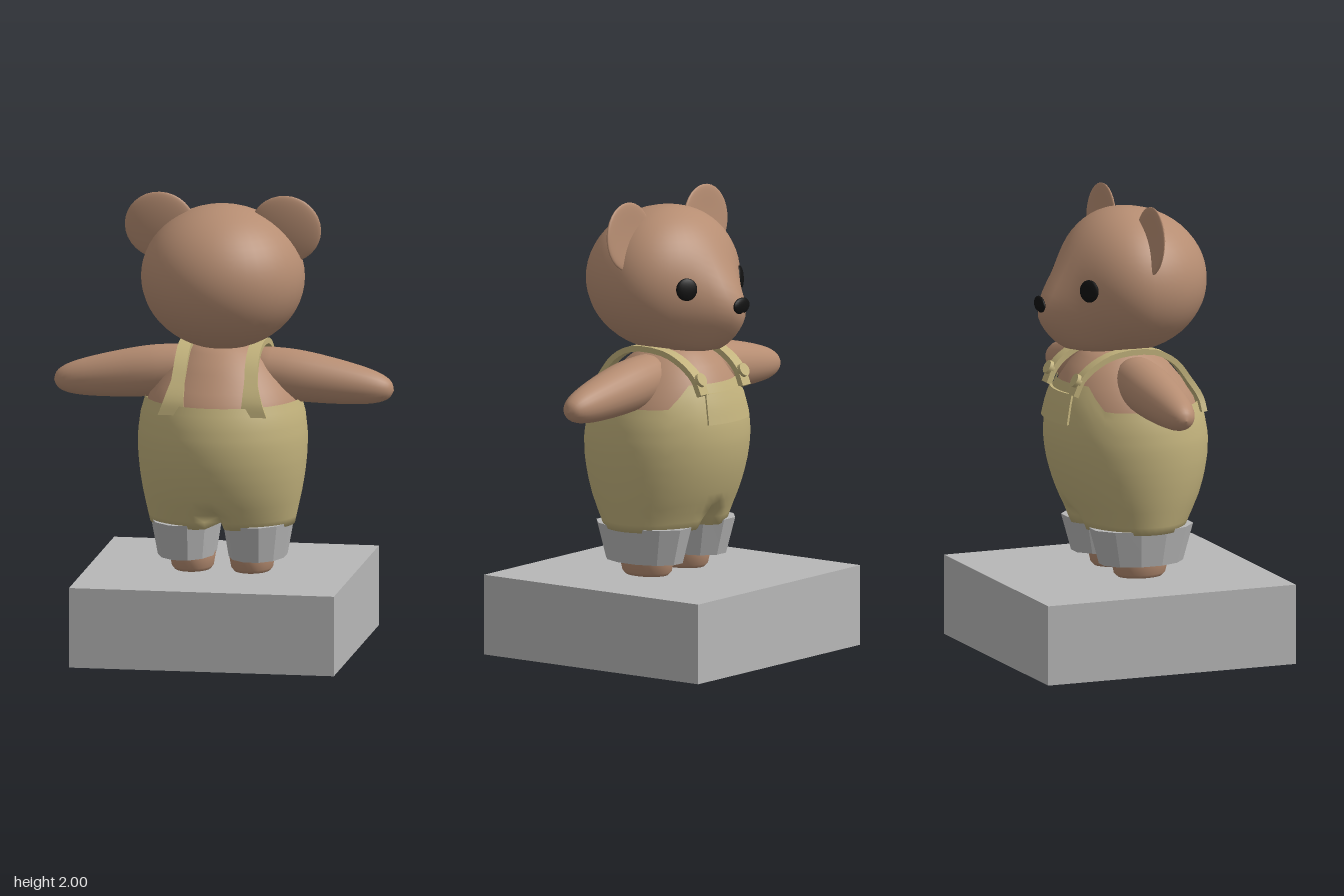
import * as THREE from 'three';
import { mergeVertices, toCreasedNormals } from 'three/addons/utils/BufferGeometryUtils.js';

const V = (x, y, z) => new THREE.Vector3(x, y, z);
const smooth = THREE.MathUtils.smoothstep;

function makeMaterial(name, color, side = THREE.FrontSide) {
  const m = new THREE.MeshStandardMaterial({ color, side });
  m.name = name;
  return m;
}

// Skin over closed rings; each ring runs anticlockwise seen against the path direction.
function loft(rings, capStart = true, capEnd = true) {
  const n = rings[0].length, pts = rings.flat(), idx = [];
  for (let i = 0; i < rings.length - 1; i++) {
    for (let j = 0; j < n; j++) {
      const a = i * n + j, b = i * n + (j + 1) % n;
      idx.push(a, b, a + n, b, b + n, a + n);
    }
  }
  const cap = (i, flip) => {
    const c = rings[i].reduce((s, p) => s.add(p), V(0, 0, 0)).divideScalar(n);
    pts.push(c);
    for (let j = 0; j < n; j++) {
      const a = i * n + j, b = i * n + (j + 1) % n, k = pts.length - 1;
      if (flip) idx.push(b, a, k); else idx.push(a, b, k);
    }
  };
  if (capStart) cap(0, true);
  if (capEnd) cap(rings.length - 1, false);
  const g = new THREE.BufferGeometry().setFromPoints(pts);
  g.setIndex(idx);
  g.computeVertexNormals();
  return g;
}

// Body outline: height, half width, back z, front z
const outline = [
  [0.56, 0.315, 0.27, -0.20], [0.63, 0.33, 0.305, -0.23], [0.7, 0.345, 0.337, -0.265],
  [0.78, 0.358, 0.362, -0.295], [0.86, 0.366, 0.377, -0.317], [0.95, 0.368, 0.38, -0.33],
  [1.04, 0.357, 0.364, -0.326], [1.12, 0.335, 0.335, -0.308], [1.2, 0.285, 0.275, -0.28],
  [1.28, 0.22, 0.21, -0.23], [1.35, 0.13, 0.12, -0.15]];

function bodyPoint(a, y, grow = 0) {
  let i = 0;
  while (i < outline.length - 2 && y > outline[i + 1][0]) i++;
  const p = outline[i], q = outline[i + 1], t = (y - p[0]) / (q[0] - p[0]);
  const [w, b, f] = [1, 2, 3].map(k => p[k] + (q[k] - p[k]) * t);
  return V((w + grow) * Math.sin(a), y, (b + f) / 2 + ((b - f) / 2 + grow) * Math.cos(a));
}

const SEG = 48;
const ringOf = f => Array.from({ length: SEG }, (_, j) => f(j / SEG * Math.PI * 2));

// Trousers with a raised bib and a notch between the legs
function overallsGeometry() {
  const rings = [];
  for (let i = 0; i <= 16; i++) {
    rings.push(ringOf(a => {
      const bib = Math.cos(a) < 0 ? 1 - smooth(Math.abs(Math.sin(a)), 0.6, 0.82) : 0;
      const top = 1.11 + 0.1 * bib;
      const p = bodyPoint(a, 0.56 + (top - 0.56) * i / 16);
      const pinch = smooth(0.67 - p.y, 0, 0.1) * Math.exp(-((p.x / 0.03) ** 2));
      p.z += (0.03 - p.z) * pinch * 0.8;
      return p;
    }));
  }
  return loft(rings, true, false);
}

// Head: an ellipsoid drawn out to a snout at -z
const HEAD = V(0, 1.635, 0.02);
function headPoint(n) {
  const p = V(n.x * 0.355, n.y * 0.315, n.z * (n.z > 0 ? 0.357 : 0.28)).add(HEAD);
  const up = Math.max(0, p.y - 1.47) / 0.2;
  const front = Math.min(1, Math.max(0, -n.z / 0.4));
  p.z -= 0.155 * front * Math.exp(-up * up) * Math.exp(-((p.x / 0.13) ** 2));
  return p;
}
function headGeometry() {
  let g = new THREE.SphereGeometry(1, 40, 28);
  const pos = g.attributes.position;
  for (let i = 0; i < pos.count; i++) {
    const p = headPoint(V(0, 0, 0).fromBufferAttribute(pos, i));
    pos.setXYZ(i, p.x, p.y, p.z);
  }
  g.deleteAttribute('uv');
  g.deleteAttribute('normal');
  g = mergeVertices(g);
  g.computeVertexNormals();
  return g;
}

// Ear: a thin disc hollowed on the face side
function earGeometry() {
  const g = new THREE.SphereGeometry(1, 28, 16);
  const pos = g.attributes.position;
  for (let i = 0; i < pos.count; i++) {
    const x = pos.getX(i), y = pos.getY(i), z = pos.getZ(i);
    const dish = 0.018 * (1 - x * x - y * y);
    pos.setXYZ(i, x * 0.155, y * 0.15, z * 0.022 + (z < 0 ? dish : dish * 0.3));
  }
  g.computeVertexNormals();
  return g;
}

// Strap: a flat band over the shoulder, wider at the back waist
function strapGeometry(s) {
  const path = new THREE.CatmullRomCurve3([
    V(0.18 * s, 1.07, 0.3), V(0.172 * s, 1.13, 0.292), V(0.16 * s, 1.21, 0.247),
    V(0.155 * s, 1.29, 0.185), V(0.155 * s, 1.34, 0.09), V(0.155 * s, 1.34, -0.08),
    V(0.155 * s, 1.3, -0.18), V(0.152 * s, 1.24, -0.25), V(0.15 * s, 1.17, -0.283)]);
  const rings = [], N = 24, side = V(1, 0, 0);
  for (let i = 0; i <= N; i++) {
    const p = path.getPoint(i / N), n = side.clone().cross(path.getTangent(i / N)).normalize();
    const w = 0.028 + 0.03 * Math.max(0, 1 - i / 6);
    rings.push([[-w, 0.01], [w, 0.01], [w, -0.015], [-w, -0.015]].map(
      ([u, v]) => p.clone().addScaledVector(side, u).addScaledVector(n, v)));
  }
  return toCreasedNormals(loft(rings), 0.6);
}

// Pocket: a shallow curved panel on the bib
function pocketGeometry() {
  const rings = [];
  for (let i = 0; i <= 4; i++) {
    const y = 1.04 + 0.13 * i / 4, ring = [];
    for (let j = 0; j <= 8; j++) ring.push(bodyPoint(Math.PI - 0.4 + 0.1 * j, y, 0.012));
    for (let j = 8; j >= 0; j--) ring.push(bodyPoint(Math.PI - 0.4 + 0.1 * j, y, -0.01));
    rings.push(ring);
  }
  return toCreasedNormals(loft(rings), 0.6);
}

export function createModel() {
  const group = new THREE.Group();
  const fur = makeMaterial('brown fur', 0xb68d72);
  const cloth = makeMaterial('olive cloth', 0xc2b27c, THREE.DoubleSide);
  const grey = makeMaterial('grey', 0xb8b8b8);
  const black = makeMaterial('black', 0x111111);
  const add = (name, geometry, material, x = 0, y = 0, z = 0) => {
    const m = new THREE.Mesh(geometry, material);
    m.name = name;
    m.position.set(x, y, z);
    group.add(m);
    return m;
  };

  add('plinth', new THREE.BoxGeometry(1.16, 0.35, 1.16), grey, 0, 0.175, 0);

  // Torso and clothing
  const torsoRings = [];
  for (let i = 0; i <= 12; i++) torsoRings.push(ringOf(a => bodyPoint(a, 0.9 + 0.45 * i / 12, -0.014)));
  add('torso', loft(torsoRings), fur);
  add('overalls', overallsGeometry(), cloth);
  add('bibPocket', pocketGeometry(), cloth);

  // Head
  add('head', headGeometry(), fur);
  add('nose', new THREE.SphereGeometry(1, 20, 12), black, 0, 1.553, -0.376).scale.set(0.055, 0.036, 0.014);

  const armProfile = [[0, 0.1], [0.09, 0.14], [0.108, 0.24], [0.11, 0.34], [0.103, 0.44], [0.092, 0.54],
    [0.078, 0.63], [0.06, 0.695], [0.035, 0.735], [0, 0.75]];
  const armCurve = new THREE.SplineCurve(armProfile.map(p => new THREE.Vector2(...p)));
  const armPoints = armCurve.getPoints(27).map(p => p.setX(Math.max(0, p.x)));

  for (const s of [1, -1]) {
    const side = s > 0 ? 'left' : 'right';

    const ear = add(side + 'Ear', earGeometry(), fur, 0.275 * s, 1.85, 0.026);
    ear.rotation.x = 0.09;

    const eye = add(side + 'Eye', new THREE.SphereGeometry(1, 20, 12), black);
    eye.position.copy(headPoint(V(0.54 * s, 0, -0.842)));
    eye.scale.set(0.05, 0.049, 0.014);
    eye.quaternion.setFromUnitVectors(V(0, 0, 1), V(0.5 * s, 0.1, -0.86).normalize());

    const arm = add(side + 'Arm', new THREE.LatheGeometry(armPoints, 24), fur, 0, 1.245, 0);
    arm.rotation.z = -s * (Math.PI / 2 + 0.127);

    add(side + 'Strap', strapGeometry(s), cloth);
    const button = add(side + 'Button', new THREE.CylinderGeometry(0.03, 0.03, 0.025, 16), cloth,
      0.152 * s, 1.235, -0.268);
    button.rotation.x = -Math.PI / 2 + 0.5;

    // Faceted cuff and rounded foot
    const cuffRing = (y, x, rx, rz) => Array.from({ length: 12 }, (_, j) => {
      const a = (j + 0.5) / 12 * Math.PI * 2;
      return V(s * x + rx * Math.sin(a), y, 0.033 + rz * Math.cos(a));
    });
    add(side + 'Cuff', toCreasedNormals(loft([
      cuffRing(0.415, 0.155, 0.125, 0.19), cuffRing(0.575, 0.157, 0.152, 0.235)]), 0.3), grey);
    const foot = add(side + 'Foot', new THREE.LatheGeometry([
      [0, 0], [0.8, 0], [0.92, 0.015], [1, 0.06], [1, 0.12]].map(p => new THREE.Vector2(...p)), 24),
      fur, 0.13 * s, 0.35, 0.037);
    foot.scale.set(0.098, 1, 0.125);
  }
  return group;
}
